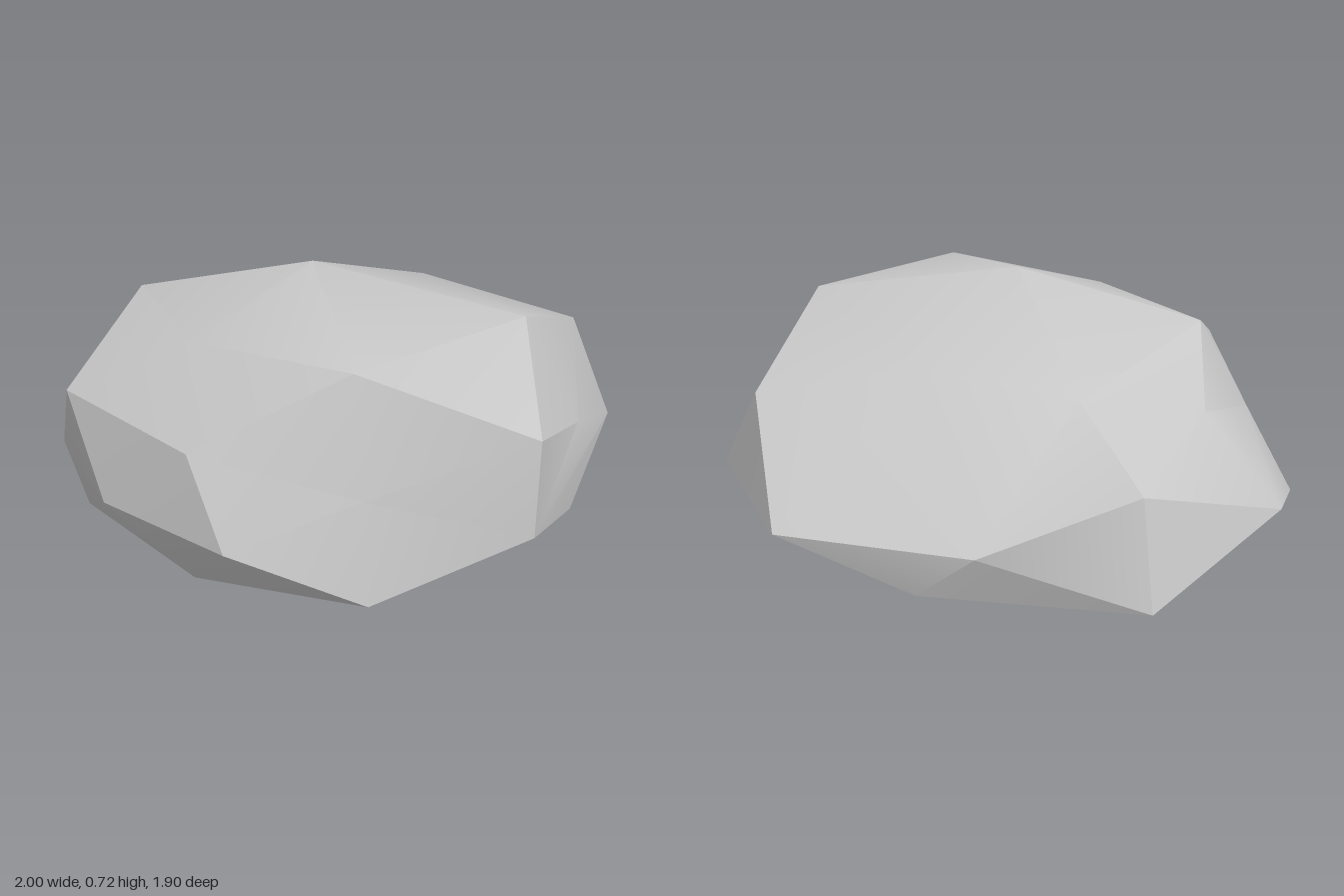
import * as THREE from 'three';
import { toCreasedNormals } from 'three/addons/utils/BufferGeometryUtils.js';

const v = (x, y, z) => new THREE.Vector3(x, y, z);

// Corners shared by neighbouring rings
const rightFoot = v(0.78, 0, 0.58);
const frontFoot = v(-0.78, 0, 0.61);
const sideFoot = v(-0.93, 0, -0.41);
const backNotch = v(-0.53, 0.15, -0.7);
const backTip = v(0.02, 0.15, -0.95);

// Rings of corners from the underside to the top, each running +x, +z, -x, -z
const rings = [
  // underside centre
  [v(-0.05, 0, 0.05)],
  // base
  [rightFoot, v(0.34, 0, 0.85), v(-0.25, 0, 0.84), frontFoot,
    sideFoot, v(-0.35, 0, -0.75), v(0.75, 0, -0.28)],
  // girdle
  [v(0.99, 0.15, 0.15), rightFoot, v(0.51, 0.15, 0.87), v(0.03, 0.15, 0.95), v(-0.42, 0.15, 0.82),
    frontFoot, v(-1, 0.15, 0.15), sideFoot, backNotch, backTip, v(0.56, 0.15, -0.67)],
  // shoulder
  [v(1, 0.45, 0.15), v(0.72, 0.29, 0.55), v(0.32, 0.38, 0.85), v(-0.27, 0.39, 0.88),
    v(-0.64, 0.29, 0.53), v(-0.72, 0.39, 0.15), v(-0.86, 0.32, -0.37), backNotch, backTip,
    v(0.37, 0.43, -0.69), v(0.76, 0.3, -0.28)],
  // crown
  [v(0.6, 0.61, 0.48), v(0.03, 0.57, 0.62), v(-0.5, 0.57, 0.45),
    v(-0.52, 0.48, -0.22), v(-0.08, 0.53, -0.42), v(0.61, 0.62, -0.19)],
  // apex
  [v(0.02, 0.72, 0.15)],
];

// Joins two rings with triangles, always taking the shorter diagonal
function stitch(lower, upper, triangles) {
  let i = 0;
  let j = 0;
  while (i < lower.length || j < upper.length) {
    const a = lower[i % lower.length];
    const b = upper[j % upper.length];
    const nextA = lower[(i + 1) % lower.length];
    const nextB = upper[(j + 1) % upper.length];
    const stepLower = j === upper.length
      || (i < lower.length && nextA.distanceTo(b) < a.distanceTo(nextB));
    const triangle = new THREE.Triangle(a, b, stepLower ? nextA : nextB);
    if (triangle.getArea() > 1e-6) triangles.push(triangle);
    if (stepLower) i++;
    else j++;
  }
}

export function createModel() {
  const group = new THREE.Group();
  group.name = 'boulder';

  const stone = new THREE.MeshStandardMaterial({ color: 0xc7c7c7 });
  stone.name = 'pale grey stone';

  const triangles = [];
  for (let k = 0; k + 1 < rings.length; k++) stitch(rings[k], rings[k + 1], triangles);
  const geometry = new THREE.BufferGeometry().setFromPoints(
    triangles.flatMap((t) => [t.a, t.b, t.c]),
  );

  // Soft across shallow facets, sharp at the ridges
  const rock = new THREE.Mesh(toCreasedNormals(geometry, Math.PI / 6), stone);
  rock.name = 'rock';
  group.add(rock);

  return group;
}
